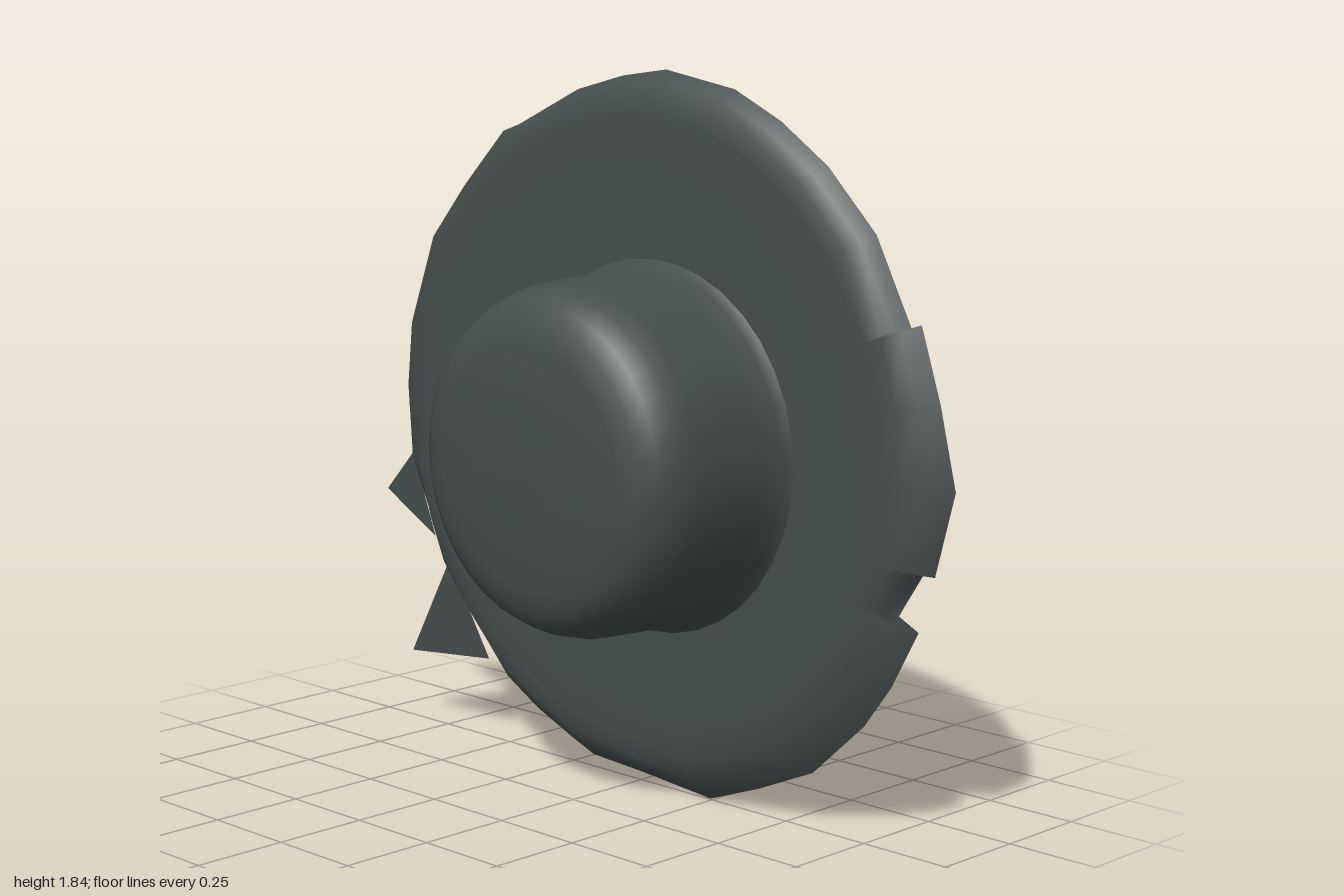
import * as THREE from 'three';

const felt = new THREE.MeshStandardMaterial({ color: 0x454d4d, side: THREE.DoubleSide });
felt.name = 'dark grey felt';

const BACK = -0.255, BRIM = -0.19;

// Ragged brim edge, clockwise from the top (x, y)
const EDGE = [
  [0.07, 1.84], [0.3, 1.8], [0.45, 1.73], [0.6, 1.63], [0.75, 1.48], [0.86, 1.27],
  [0.89, 1.28], [0.95, 1.1], [1, 0.9], [0.945, 0.69], [0.91, 0.69], [0.84, 0.58],
  [0.9, 0.55], [0.82, 0.4], [0.74, 0.29], [0.58, 0.14], [0.4, 0.06], [0.24, 0],
  [0, 0.02], [-0.18, 0.03], [-0.26, 0.06], [-0.38, 0.11], [-0.49, 0.17], [-0.55, 0.25],
  [-0.65, 0.35], [-0.75, 0.46], [-0.79, 0.58], [-0.89, 0.74], [-0.905, 0.95],
  [-0.89, 1.12], [-0.8, 1.36], [-0.66, 1.52], [-0.52, 1.66], [-0.46, 1.68],
  [-0.24, 1.78], [-0.08, 1.82],
];

function mesh(name, geometry) {
  const m = new THREE.Mesh(geometry, felt);
  m.name = name;
  return m;
}

function surface(positions, index) {
  const g = new THREE.BufferGeometry();
  g.setAttribute('position', new THREE.Float32BufferAttribute(positions, 3));
  g.setIndex(index);
  g.computeVertexNormals();
  return g;
}

// Flat ring around the crown that curls back to the ragged edge
function brimGeometry() {
  const cx = 0.03, cy = 0.93, n = EDGE.length, rings = 6;
  const pos = [], index = [];
  EDGE.forEach(([x, y]) => {
    const dx = x - cx, dy = y - cy, r = Math.hypot(dx, dy);
    const ux = dx / r, uy = dy / r;
    const flat = Math.min(0.85, r * 0.955);
    pos.push(0.085 + ux * 0.465, 0.9 + uy * 0.465, BRIM); // crown opening
    const steps = [[0.68, BRIM], [flat * 0.94, BRIM], [flat, BRIM - 0.004],
      [flat + (r - flat) * 0.55, -0.218], [r, BACK]];
    steps.forEach(([s, z]) => pos.push(cx + ux * s, cy + uy * s, z));
  });
  for (let i = 0; i < n; i++) {
    for (let j = 0; j < rings - 1; j++) {
      const a = i * rings + j, b = ((i + 1) % n) * rings + j;
      index.push(a, b, a + 1, b, b + 1, a + 1);
    }
  }
  return surface(pos, index);
}

// Hollow rounded crown, open at the back
function crownGeometry() {
  const profile = [
    [0.475, BRIM], [0.458, -0.165], [0.449, -0.1], [0.446, 0], [0.441, 0.1], [0.428, 0.15],
    [0.4, 0.2], [0.36, 0.228], [0.3, 0.243], [0.16, 0.252], [0.001, 0.255],
  ].map(([r, z]) => new THREE.Vector2(r, z));
  return new THREE.LatheGeometry(profile, 36).rotateX(Math.PI / 2).translate(0.085, 0.9, 0);
}

export function createModel() {
  const hat = new THREE.Group();
  hat.name = 'hat';
  hat.add(mesh('brim', brimGeometry()), mesh('crown', crownGeometry()));

  // Torn spikes at the lower right of the brim
  const spikes = [
    [-1, 0.635, BACK, -0.79, 0.53, -0.245, -0.88, 0.755, -0.245],
    [-0.9, 0.185, BACK, -0.575, 0.22, -0.245, -0.735, 0.47, -0.245],
  ];
  spikes.forEach((p, i) => hat.add(mesh(i ? 'lowerSpike' : 'upperSpike', surface(p, [0, 1, 2]))));
  return hat;
}
